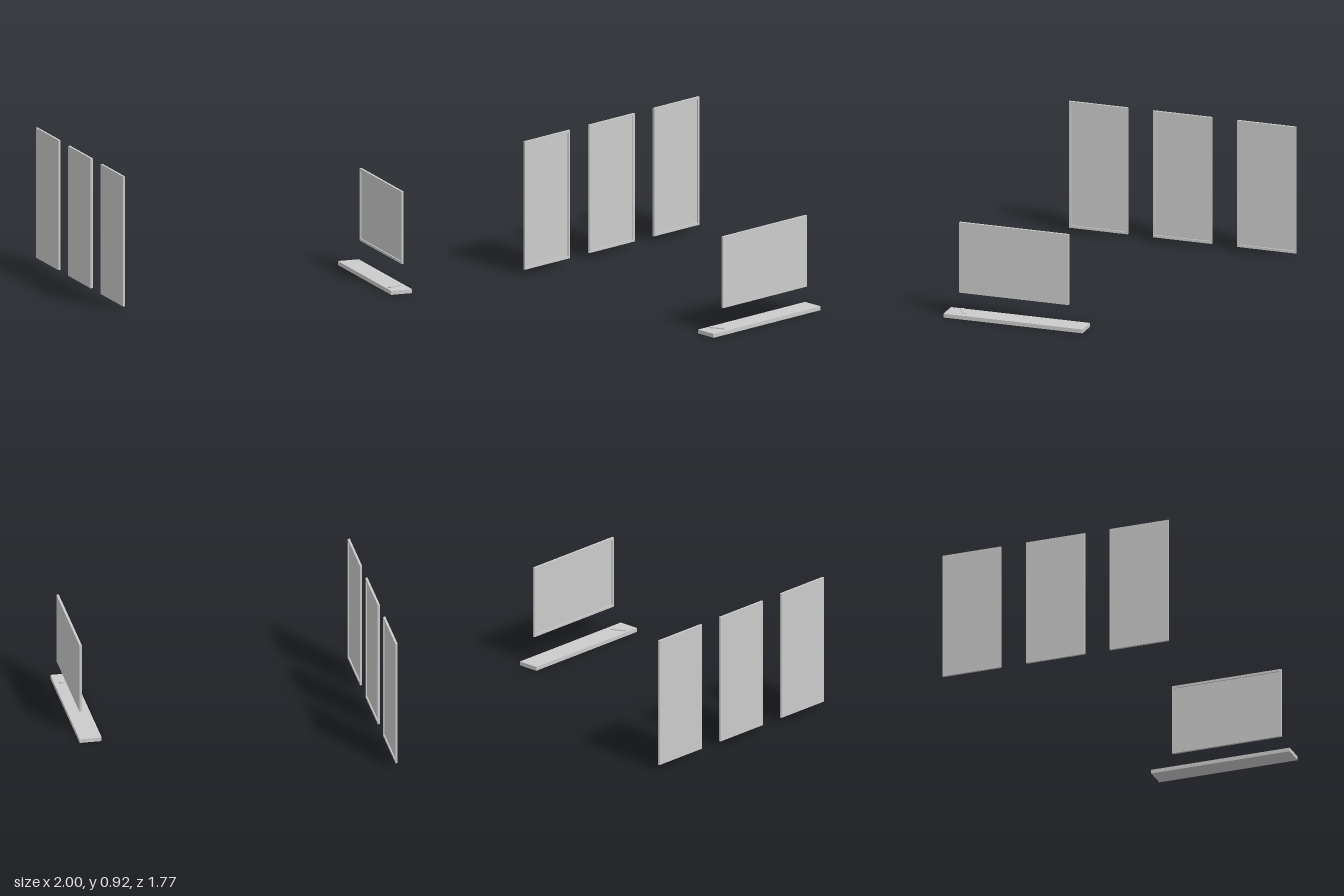
import * as THREE from 'three';

const grey = new THREE.MeshStandardMaterial({ color: 0xcccccc, flatShading: true });

function box(name, w, h, d, x, y, z) {
  const mesh = new THREE.Mesh(new THREE.BoxGeometry(w, h, d), grey);
  mesh.name = name;
  mesh.position.set(x, y, z);
  return mesh;
}

// Rectangle path centred on the origin
function rect(path, w, h) {
  path.moveTo(-w / 2, -h / 2);
  path.lineTo(w / 2, -h / 2);
  path.lineTo(w / 2, h / 2);
  path.lineTo(-w / 2, h / 2);
  path.closePath();
  return path;
}

// Upright panel with a raised rim around a recessed face, facing local +z
function framedPanel(name, w, h, depth, rimWidth, recess) {
  const group = new THREE.Group();
  group.name = name;
  const shape = rect(new THREE.Shape(), w, h);
  shape.holes.push(rect(new THREE.Path(), w - 2 * rimWidth, h - 2 * rimWidth));
  const rim = new THREE.Mesh(
    new THREE.ExtrudeGeometry(shape, { depth, bevelEnabled: false }), grey);
  rim.name = 'rim';
  rim.position.z = -depth / 2;
  group.add(rim);
  group.add(box('panel', w - 2 * rimWidth, h - 2 * rimWidth, depth - recess, 0, 0, -recess / 2));
  return group;
}

export function createModel() {
  const model = new THREE.Group();
  model.name = 'wallSet';

  // Three tall wall frames facing the screen
  [-0.677, -0.081, 0.514].forEach((z, i) => {
    const frame = framedPanel('wallFrame' + (i + 1), 0.417, 0.885, 0.015, 0.016, 0.008);
    frame.rotation.y = Math.PI / 2;
    frame.position.set(-0.9925, 0.478, z);
    model.add(frame);
  });

  // Wide screen facing the frames
  const screen = framedPanel('screen', 0.775, 0.493, 0.016, 0.016, 0.008);
  screen.rotation.y = -Math.PI / 2;
  screen.position.set(0.972, 0.426, 0.392);
  model.add(screen);

  // Long low shelf below the screen
  model.add(box('shelf', 0.15, 0.027, 0.985, 0.925, 0.0135, 0.392));

  // Remote control lying askew on the shelf
  const remote = box('remoteControl', 0.104, 0.008, 0.024, 0.916, 0.031, 0.773);
  remote.rotation.y = THREE.MathUtils.degToRad(28);
  model.add(remote);

  return model;
}
